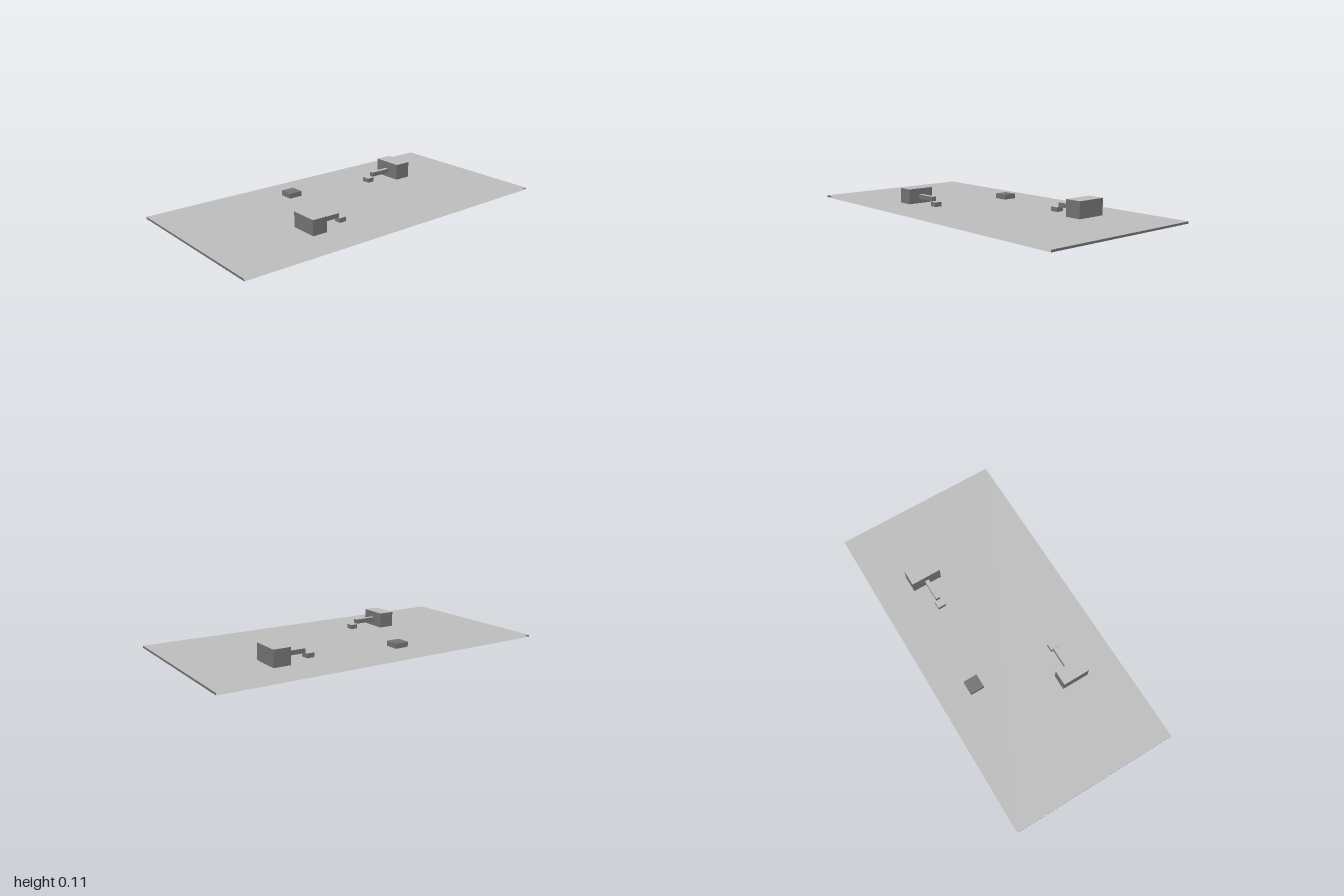
import * as THREE from 'three';

const lightGrey = new THREE.MeshStandardMaterial({ color: 0xbebebe, side: THREE.DoubleSide });
lightGrey.name = 'lightGrey';
const darkGrey = new THREE.MeshStandardMaterial({ color: 0x747474, side: THREE.DoubleSide });
darkGrey.name = 'darkGrey';

const BASE = 0.012; // slab thickness

// Block given by its extents, with dark sides and a chosen colour for top and bottom
function block(name, [x0, x1], [y0, y1], [z0, z1], cap = lightGrey) {
  const geometry = new THREE.BoxGeometry(x1 - x0, y1 - y0, z1 - z0);
  const mesh = new THREE.Mesh(geometry, [darkGrey, darkGrey, cap, cap, darkGrey, darkGrey]);
  mesh.position.set((x0 + x1) / 2, (y0 + y1) / 2, (z0 + z1) / 2);
  mesh.name = name;
  return mesh;
}

// Thin slab, open along its two long sides
function slab() {
  const group = new THREE.Group();
  group.name = 'slab';
  const face = (name, height, material, rotX, rotY, y, z) => {
    const mesh = new THREE.Mesh(new THREE.PlaneGeometry(1, height), material);
    mesh.rotation.set(rotX, rotY, 0);
    mesh.position.set(0, y, z);
    mesh.name = name;
    group.add(mesh);
  };
  face('slabTop', 2, lightGrey, -Math.PI / 2, 0, BASE, 0);
  face('slabBottom', 2, lightGrey, Math.PI / 2, 0, 0, 0);
  face('slabFrontEdge', BASE, darkGrey, 0, 0, BASE / 2, 1);
  face('slabBackEdge', BASE, darkGrey, 0, Math.PI, BASE / 2, -1);
  return group;
}

// Large block with a raised arm leading to a small foot block
function unit(name, body, arm, foot) {
  const group = new THREE.Group();
  group.name = name;
  group.add(
    block('body', body.x, [BASE, body.top], body.z),
    block('arm', arm.x, [0.039, 0.065], arm.z),
    block('foot', foot.x, [BASE, 0.038], foot.z)
  );
  return group;
}

export function createModel() {
  const model = new THREE.Group();
  model.name = 'slabWithBlocks';
  model.add(slab());
  model.add(unit('backUnit',
    { x: [-0.293, -0.112], z: [-0.598, -0.498], top: 0.108 },
    { x: [-0.215, -0.19], z: [-0.498, -0.366] },
    { x: [-0.226, -0.178], z: [-0.366, -0.32] }));
  model.add(unit('frontUnit',
    { x: [0.135, 0.299], z: [0.374, 0.464], top: 0.1 },
    { x: [0.204, 0.23], z: [0.242, 0.374] },
    { x: [0.196, 0.24], z: [0.199, 0.242] }));
  // Low block standing alone
  model.add(block('lowBlock', [-0.327, -0.244], [BASE, 0.041], [0.143, 0.225], darkGrey));
  return model;
}
